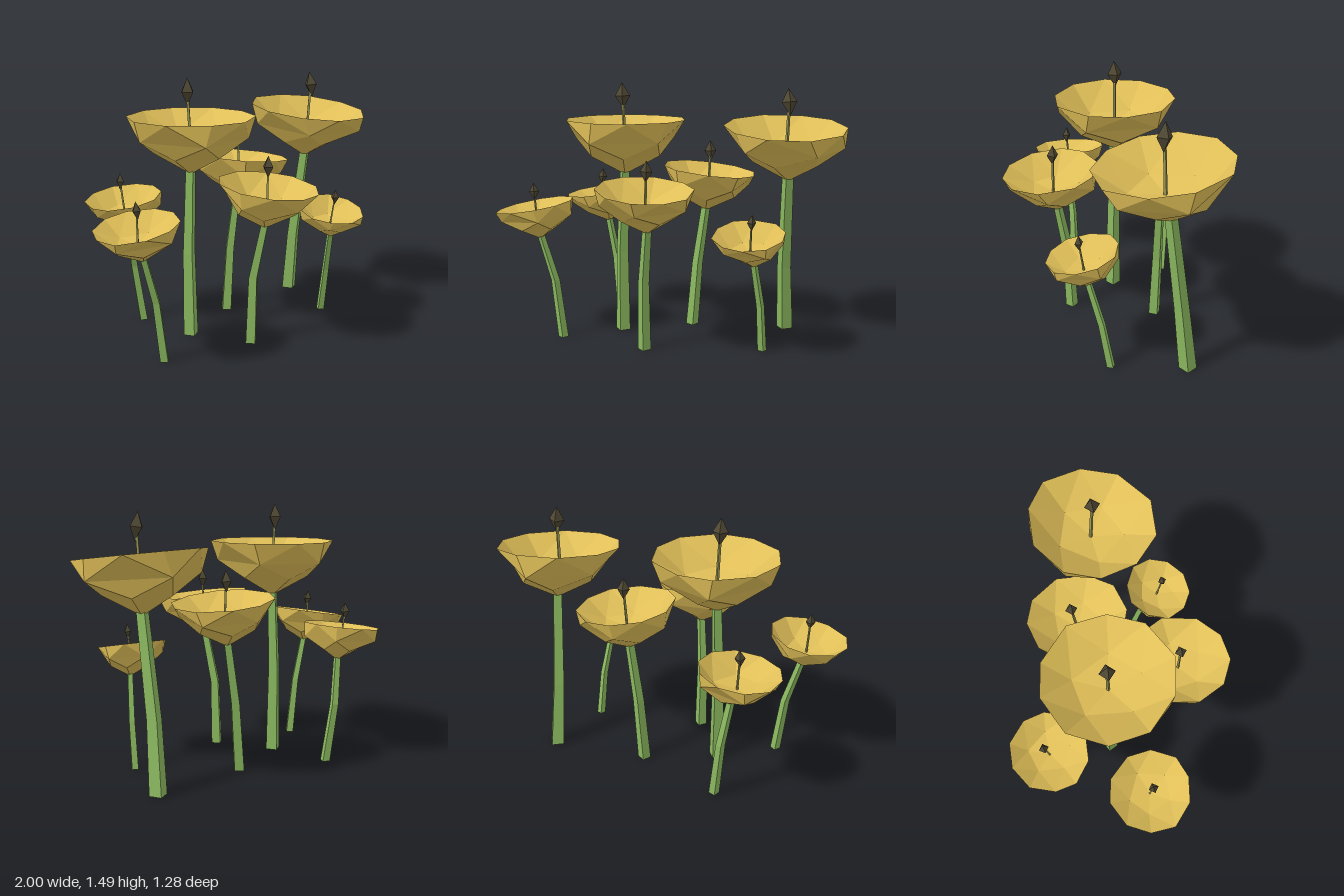
import * as THREE from 'three';

const paint = (color) => new THREE.MeshStandardMaterial({ color, flatShading: true, side: THREE.DoubleSide });
const petalMat = paint(0xe0bf58), stemMat = paint(0x8cba60), filamentMat = paint(0x9c9a58), antherMat = paint(0x4f4833);

// Per flower: stem path (base, bend, cup bottom), stem radii, rim centre, rim radii x/z, rim slope x/z, anther centre
const FLOWERS = [
  { stem: [[-0.3, 0.005, -0.055], [-0.3, 0.5, -0.06], [-0.28, 0.96, -0.06]], thick: [0.046, 0.03],
    rim: [-0.275, 1.283, -0.06], size: [0.347, 0.36], slope: [0, 0], anther: [-0.29, 1.418, -0.065] },
  { stem: [[0.68, 0.005, -0.2], [0.665, 0.4, -0.155], [0.67, 0.935, -0.075]], thick: [0.05, 0.034],
    rim: [0.65, 1.25, -0.035], size: [0.352, 0.357], slope: [-0.02, -0.12], anther: [0.665, 1.39, -0.03] },
  { stem: [[-0.12, 0.005, 0.265], [-0.12, 0.4, 0.28], [-0.09, 0.695, 0.34]], thick: [0.038, 0.026],
    rim: [-0.1, 0.945, 0.37], size: [0.27, 0.27], slope: [-0.05, -0.1], anther: [-0.09, 1.04, 0.36] },
  { stem: [[0.11, 0.005, -0.2], [0.14, 0.4, -0.2], [0.19, 0.73, -0.19]], thick: [0.038, 0.027],
    rim: [0.21, 0.985, -0.18], size: [0.28, 0.282], slope: [-0.11, 0], anther: [0.212, 1.09, -0.205] },
  { stem: [[-0.63, 0.005, 0.12], [-0.67, 0.35, 0.115], [-0.75, 0.6, 0.12]], thick: [0.03, 0.022],
    rim: [-0.78, 0.797, 0.105], size: [0.222, 0.225], slope: [0.17, 0], anther: [-0.78, 0.878, 0.12] },
  { stem: [[-0.375, 0.005, -0.42], [-0.41, 0.35, -0.45], [-0.455, 0.6, -0.425]], thick: [0.03, 0.022],
    rim: [-0.495, 0.8, -0.42], size: [0.225, 0.22], slope: [0.13, 0], anther: [-0.495, 0.885, -0.44] },
  { stem: [[0.545, 0.005, 0.205], [0.53, 0.28, 0.25], [0.49, 0.52, 0.315]], thick: [0.026, 0.02],
    rim: [0.46, 0.703, 0.335], size: [0.2, 0.195], slope: [0.04, -0.22], anther: [0.474, 0.774, 0.355] },
];

function seeded(seed) {
  let s = seed;
  return () => (s = (s * 16807) % 2147483647) / 2147483647;
}

function meshFrom(points, faces) {
  const geo = new THREE.BufferGeometry();
  geo.setAttribute('position', new THREE.Float32BufferAttribute(points.flat(), 3));
  geo.setIndex(faces);
  const flat = geo.toNonIndexed();
  flat.computeVertexNormals();
  return flat;
}

// Loft of level four-sided rings along a path, closed at both ends
function loft(path, radii, turn) {
  const sides = 4, pts = [], faces = [];
  path.forEach(([x, y, z], k) => {
    for (let i = 0; i < sides; i++) {
      const a = turn + (i / sides) * Math.PI * 2;
      pts.push([x + radii[k] * Math.sin(a), y, z + radii[k] * Math.cos(a)]);
    }
  });
  for (let k = 0; k < path.length - 1; k++) {
    for (let i = 0; i < sides; i++) {
      const a = k * sides + i, b = k * sides + (i + 1) % sides;
      faces.push(a, b, b + sides, a, b + sides, a + sides);
    }
  }
  const top = (path.length - 1) * sides;
  for (let i = 1; i < sides - 1; i++) faces.push(0, i + 1, i, top, top + i, top + i + 1);
  return meshFrom(pts, faces);
}

// Middle of the shallow inside of a cup
function cupFloor({ stem, rim }) {
  const lerp = THREE.MathUtils.lerp, a = stem[2];
  return [lerp(a[0], rim[0], 0.7), lerp(a[1], rim[1], 0.46), lerp(a[2], rim[2], 0.7)];
}

// Faceted cup: point, two staggered rings of 5, rim of 10, then a shallow inside
function cup(spec, rand) {
  const { stem, rim, size, slope } = spec, lerp = THREE.MathUtils.lerp;
  const apex = stem[2], pts = [apex], faces = [];
  const turn = rand() * Math.PI * 2;
  const ring = (n, r, h, offset) => {
    for (let i = 0; i < n; i++) {
      const a = turn + ((i + offset + (rand() - 0.5) * 0.2) / n) * Math.PI * 2;
      const k = r * (1 + (rand() - 0.5) * 0.06);
      const dx = k * size[0] * Math.sin(a), dz = k * size[1] * Math.cos(a);
      pts.push([
        lerp(apex[0], rim[0], h) + dx,
        lerp(apex[1], rim[1], h) + h * (slope[0] * dx + slope[1] * dz),
        lerp(apex[2], rim[2], h) + dz,
      ]);
    }
  };
  ring(5, 0.58, 0.35, 0);
  ring(5, 0.92, 0.64, 0.5);
  ring(10, 1.01, 1, 0);
  ring(5, 0.54, 0.57, 0);
  pts.push(cupFloor(spec));
  const A = (i) => 1 + i % 5, B = (i) => 6 + i % 5, C = (i) => 11 + (i + 10) % 10, D = (i) => 21 + i % 5;
  for (let i = 0; i < 5; i++) {
    const j = 2 * i;
    faces.push(0, A(i + 1), A(i), A(i), A(i + 1), B(i), A(i + 1), B(i + 1), B(i));
    faces.push(B(i), C(j + 1), C(j), B(i), C(j + 2), C(j + 1), B(i), B(i + 1), C(j + 2));
    faces.push(26, D(i), D(i + 1), D(i), C(j - 1), C(j), D(i), C(j), C(j + 1), D(i), C(j + 1), D(i + 1));
  }
  return meshFrom(pts, faces);
}

function flower(spec, index) {
  const rand = seeded(4211 + index * 977);
  for (let i = 0; i < 4; i++) rand();
  const group = new THREE.Group();
  group.name = 'flower' + (index + 1);
  const add = (name, geo, mat) => {
    const mesh = new THREE.Mesh(geo, mat);
    mesh.name = name;
    group.add(mesh);
    return mesh;
  };

  const [base, bend, tip] = spec.stem, [r0, r1] = spec.thick;
  const end = [tip[0], tip[1] + 0.03, tip[2]];
  add('stem', loft([base, bend, end], [r0, (r0 + r1) / 2, r1], rand() * 6), stemMat);
  add('cup', cup(spec, rand), petalMat);

  // Thin filament carrying a long faceted anther
  const R = spec.size[0], a = spec.anther;
  add('filament', loft([cupFloor(spec), a], [R * 0.03, R * 0.025], 0), filamentMat);
  const anther = add('anther', new THREE.OctahedronGeometry(1), antherMat);
  anther.scale.set(R * 0.125, R * 0.22, R * 0.125);
  anther.position.set(...a);
  anther.rotation.set((rand() - 0.5) * 0.2, rand() * 3, (rand() - 0.5) * 0.2);
  return group;
}

export function createModel() {
  const model = new THREE.Group();
  model.name = 'flowerCluster';
  FLOWERS.forEach((spec, i) => model.add(flower(spec, i)));
  return model;
}
